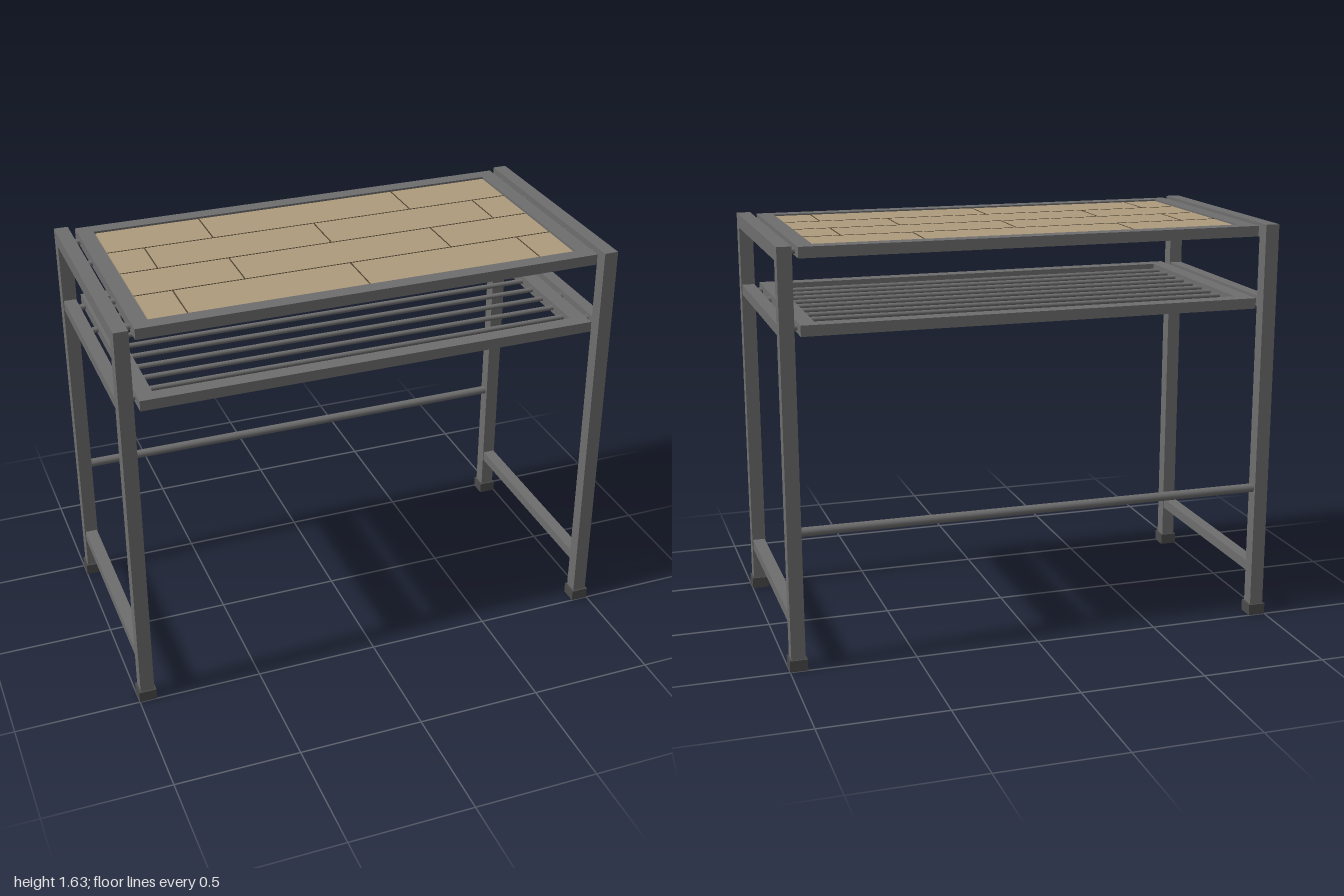
import * as THREE from 'three';

const mat = (name, color) => {
  const m = new THREE.MeshStandardMaterial({ color });
  m.name = name;
  return m;
};

export function createModel() {
  const steel = mat('grey steel', 0x6e6e6e);
  const rubber = mat('dark rubber', 0x4a4a4a);
  const wood = mat('tan wood', 0xae9b7c);
  const seam = mat('dark seam', 0x4e4433);
  const root = new THREE.Group();
  root.name = 'workTable';

  const add = (parent, name, geometry, material, x, y, z) => {
    const mesh = new THREE.Mesh(geometry, material);
    mesh.name = name;
    mesh.position.set(x, y, z);
    parent.add(mesh);
    return mesh;
  };
  const box = (parent, name, material, w, h, d, x, y, z) =>
    add(parent, name, new THREE.BoxGeometry(w, h, d), material, x, y, z);
  // Round bar along x
  const rod = (parent, name, r, length, x, y, z) =>
    add(parent, name, new THREE.CylinderGeometry(r, r, length, 16).rotateZ(Math.PI / 2), steel, x, y, z);

  // Side frames: legs, feet and cross rails
  for (const side of [-1, 1]) {
    const frame = new THREE.Group();
    frame.name = side > 0 ? 'leftSideFrame' : 'rightSideFrame';
    root.add(frame);
    const x = side * 0.965;
    for (const z of [-0.465, 0.465]) {
      box(frame, 'leg', steel, 0.056, 1.56, 0.056, x, 0.8, z);
      box(frame, 'foot', rubber, 0.07, 0.045, 0.07, x, 0.0225, z);
    }
    box(frame, 'topRail', steel, 0.056, 0.055, 0.986, x, 1.6075, 0);
    box(frame, 'shelfRail', steel, 0.05, 0.042, 0.88, x, 1.321, 0);
    box(frame, 'lowerRail', steel, 0.05, 0.042, 0.88, x, 0.199, 0);
    // Pegs joining the table top and shelf to the side frame
    for (const y of [1.605, 1.321])
      for (const z of [-0.4, -0.18, 0.18, 0.4])
        rod(frame, 'peg', 0.012, 0.06, side * 0.92, y, z);
  }

  // Rectangular frame shared by the table top and the shelf
  const rim = (name, y) => {
    const group = new THREE.Group();
    group.name = name;
    root.add(group);
    for (const s of [-1, 1]) {
      box(group, 'longBar', steel, 1.824, 0.042, 0.06, 0, y, s * 0.448);
      box(group, 'endBar', steel, 0.062, 0.042, 0.836, s * 0.881, y, 0);
    }
    return group;
  };

  // Table top with wooden panel
  const top = rim('tableTop', 1.609);
  box(top, 'woodPanel', wood, 1.69, 0.042, 0.822, 0, 1.604, 0);

  // Seams between staggered planks
  const rows = 4, rowDepth = 0.822 / rows, seamY = 1.6255;
  for (let i = 0; i < rows; i++) {
    const z = -0.411 + (i + 0.5) * rowDepth;
    if (i > 0) box(top, 'plankSeam', seam, 1.69, 0.001, 0.005, 0, seamY, z - rowDepth / 2);
    for (const x of i % 2 ? [-0.7, 0, 0.7] : [-0.42, 0.42])
      box(top, 'plankJoint', seam, 0.005, 0.001, rowDepth, x, seamY, z);
  }

  // Open shelf with nine bars
  const shelf = rim('shelf', 1.321);
  for (let i = -4; i <= 4; i++) rod(shelf, 'shelfBar', 0.01, 1.72, 0, 1.321, i * 0.09);

  // Rear stretcher
  rod(root, 'rearStretcher', 0.018, 1.89, 0, 0.548, -0.465);
  return root;
}
